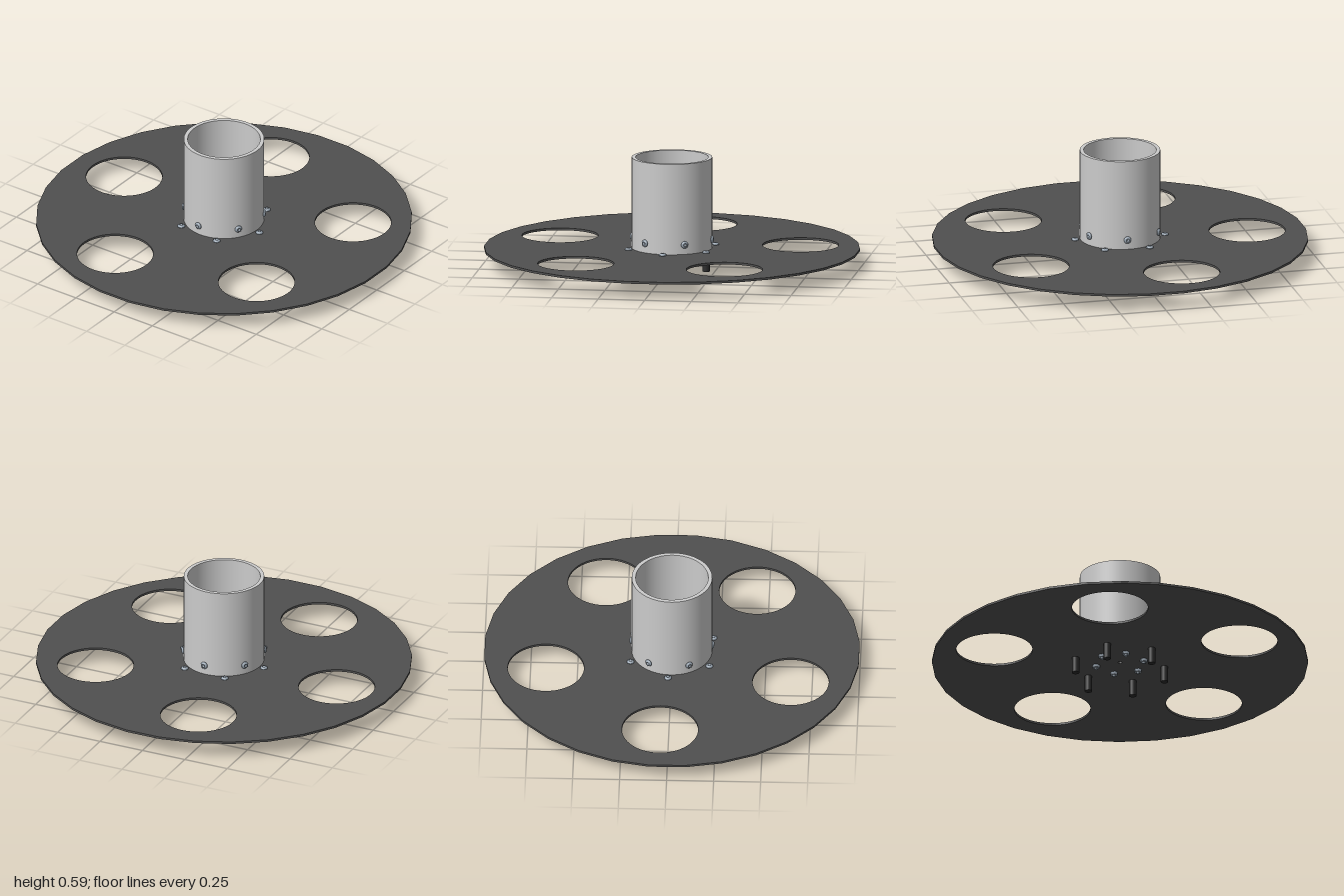
import * as THREE from 'three';

const mat = (color) => new THREE.MeshStandardMaterial({ color });
const grey = mat(0xcccccc);
const plateDark = mat(0x505050);
const postDark = mat(0x2b2b2b);
const steel = mat(0x98a4b0);

const PLATE_TOP = 0.099, PLATE_THICK = 0.012;

function add(parent, name, geometry, material, x = 0, y = 0, z = 0) {
  const mesh = new THREE.Mesh(geometry, material);
  mesh.name = name;
  mesh.position.set(x, y, z);
  parent.add(mesh);
  return mesh;
}

const lathe = (pts, segments) =>
  new THREE.LatheGeometry(pts.map(([r, y]) => new THREE.Vector2(r, y)), segments);

// Domed screw head with a hexagonal socket, plus its shank, pointing along +y
function makeScrew(name, length) {
  const screw = new THREE.Group();
  screw.name = name;
  add(screw, 'head', lathe([[0, 0], [0.02, 0], [0.0195, 0.004], [0.017, 0.008], [0.013, 0.011], [0.009, 0.012]], 20), steel);
  add(screw, 'socket', lathe([[0.009, 0.012], [0.009, 0.005], [0, 0.005]], 6), steel);
  add(screw, 'shank', new THREE.CylinderGeometry(0.009, 0.009, length, 12), steel, 0, -length / 2, 0);
  return screw;
}

// Round plate with five large openings and a small centre hole
function makePlate() {
  const shape = new THREE.Shape();
  const sides = 32;
  for (let i = 0; i < sides; i++) {
    const a = ((i + 0.5) / sides) * Math.PI * 2;
    if (i) shape.lineTo(Math.cos(a), Math.sin(a));
    else shape.moveTo(Math.cos(a), Math.sin(a));
  }
  const hole = (x, y, r) => shape.holes.push(new THREE.Path().absarc(x, y, r, 0, Math.PI * 2, true));
  for (let i = 0; i < 5; i++) {
    const a = THREE.MathUtils.degToRad(39.7 + 72 * i);
    hole(0.687 * Math.cos(a), 0.687 * Math.sin(a), 0.203);
  }
  hole(0, 0, 0.012);
  return new THREE.ExtrudeGeometry(shape, { depth: PLATE_THICK, bevelEnabled: false, curveSegments: 32 }).rotateX(Math.PI / 2);
}

// Bracket leaf: square at the base, rounded at the far corners, with a screw hole
function makeLeaf(length, holeAt, corner) {
  const w = 0.04;
  const s = new THREE.Shape();
  s.moveTo(-w, 0);
  s.lineTo(w, 0);
  s.lineTo(w, length - corner);
  s.absarc(w - corner, length - corner, corner, 0, Math.PI / 2, false);
  s.absarc(corner - w, length - corner, corner, Math.PI / 2, Math.PI, false);
  s.lineTo(-w, 0);
  s.holes.push(new THREE.Path().absarc(0, holeAt, 0.01, 0, Math.PI * 2, true));
  return new THREE.ExtrudeGeometry(s, { depth: 0.01, bevelEnabled: false, curveSegments: 10 });
}

// Angle bracket facing +z, holding the tube to the plate with two screws
function makeBracket() {
  const g = new THREE.Group();
  g.name = 'angleBracket';
  add(g, 'footLeaf', makeLeaf(0.098, 0.056, 0.012).rotateX(-Math.PI / 2), grey, 0, PLATE_TOP, 0.188);
  add(g, 'wallLeaf', makeLeaf(0.09, 0.052, 0.035), grey, 0, PLATE_TOP, 0.178);

  const footScrew = makeScrew('footScrew', 0.045);
  footScrew.position.set(0, PLATE_TOP + 0.01, 0.132);
  g.add(footScrew);
  add(g, 'footNut', new THREE.CylinderGeometry(0.02, 0.02, 0.015, 6), steel, 0, 0.0795, 0.132);

  const wallScrew = makeScrew('wallScrew', 0.06);
  wallScrew.rotation.x = Math.PI / 2;
  wallScrew.position.set(0, 0.151, 0.214);
  g.add(wallScrew);
  add(g, 'wallNut', new THREE.CylinderGeometry(0.02, 0.02, 0.014, 6).rotateX(Math.PI / 2), steel, 0, 0.151, 0.171);
  return g;
}

// Open tube wall with crisp rims
function makeTube() {
  const shape = new THREE.Shape().absarc(0, 0, 0.214, 0, Math.PI * 2, false);
  shape.holes.push(new THREE.Path().absarc(0, 0, 0.193, 0, Math.PI * 2, true));
  const rim = new THREE.ShapeGeometry(shape, 48);
  const tube = new THREE.Group();
  tube.name = 'tube';
  const h = 0.588 - PLATE_TOP, mid = PLATE_TOP + h / 2;
  add(tube, 'outerWall', new THREE.CylinderGeometry(0.214, 0.214, h, 96, 1, true), grey, 0, mid, 0);
  const inner = lathe([[0.193, h / 2], [0.193, -h / 2]], 96);
  add(tube, 'innerWall', inner, grey, 0, mid, 0);
  add(tube, 'topRim', rim.clone().rotateX(-Math.PI / 2), grey, 0, 0.588, 0);
  add(tube, 'bottomRim', rim.clone().rotateX(Math.PI / 2), grey, 0, PLATE_TOP, 0);
  return tube;
}

export function createModel() {
  const model = new THREE.Group();
  model.name = 'tubeOnRoundPlate';
  add(model, 'plate', makePlate(), plateDark, 0, PLATE_TOP, 0);
  model.add(makeTube());

  for (let i = 0; i < 6; i++) {
    // Brackets inside the tube
    const bracket = makeBracket();
    bracket.rotation.y = THREE.MathUtils.degToRad(-3.5 + 60 * i);
    model.add(bracket);

    // Standoff posts under the plate, each with a screw from above
    const a = THREE.MathUtils.degToRad(3.5 + 60 * i);
    const x = 0.243 * Math.cos(a), z = 0.243 * Math.sin(a);
    const h = PLATE_TOP - PLATE_THICK;
    add(model, 'standoff', new THREE.CylinderGeometry(0.02, 0.02, h, 20), postDark, x, h / 2, z);
    const screw = makeScrew('standoffScrew', 0.03);
    screw.position.set(x, PLATE_TOP, z);
    model.add(screw);
  }
  return model;
}
